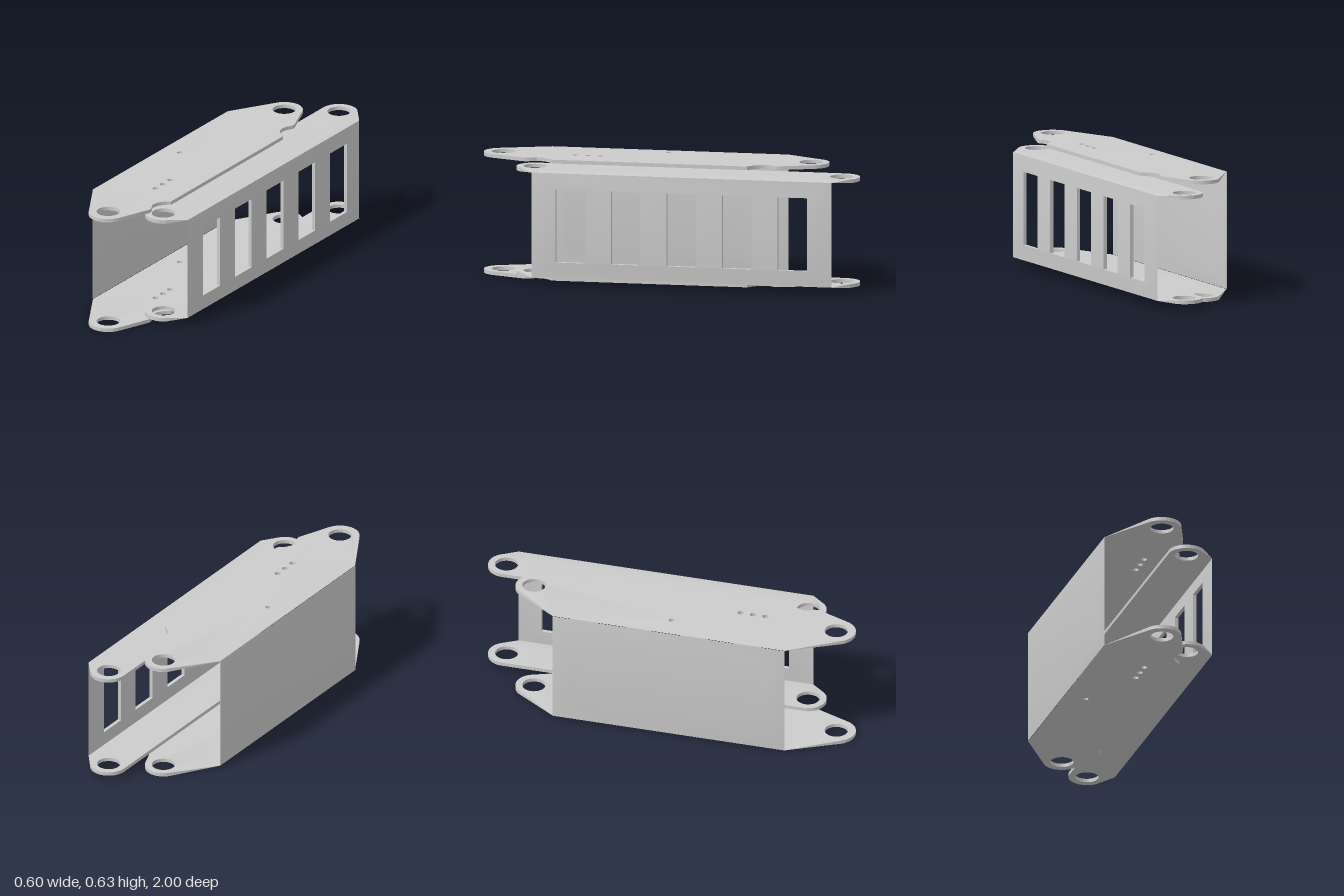
import * as THREE from 'three';
import { toCreasedNormals } from 'three/addons/utils/BufferGeometryUtils.js';

const MID = 0.315; // mid height of the linkage
const T = 0.019;   // sheet thickness
const material = new THREE.MeshStandardMaterial({ color: 0xcccccc, side: THREE.DoubleSide });

function mesh(name, geometry) {
  const m = new THREE.Mesh(toCreasedNormals(geometry, 0.5), material);
  m.name = name;
  return m;
}

// Points of a rounded tip whose sides run tangentially to the points "from" and "to"
function tip([cx, cz], r, from, to) {
  const touch = ([x, z], sign) =>
    Math.atan2(z - cz, x - cx) + sign * Math.acos(Math.min(1, r / Math.hypot(x - cx, z - cz)));
  const a = touch(from, 1);
  let b = touch(to, -1);
  while (b < a) b += Math.PI * 2;
  return Array.from({ length: 17 }, (_, i) => {
    const t = a + ((b - a) * i) / 16;
    return [cx + r * Math.cos(t), cz + r * Math.sin(t)];
  });
}

const toShape = (points) => new THREE.Shape(points.map(([x, y]) => new THREE.Vector2(x, y)));

function roundHole(x, y, r) {
  return new THREE.Path().absarc(x, y, r, 0, Math.PI * 2, true);
}

// Sheet centred on its own plane, thinned to a knife edge where isEdge(x, y) holds
function sheet(shape, isEdge) {
  const g = new THREE.ExtrudeGeometry(shape, { depth: T, bevelEnabled: false, curveSegments: 14 });
  g.translate(0, 0, -T / 2);
  const p = g.attributes.position;
  for (let i = 0; i < p.count; i++) {
    if (isEdge(p.getX(i), p.getY(i))) p.setZ(i, p.getZ(i) * 0.03);
  }
  return g;
}

// Upper and lower copies of a plate drawn in x and z
function platePair(group, name, shape, isEdge, offset) {
  for (const side of [1, -1]) {
    const g = sheet(shape, isEdge).rotateX(Math.PI / 2);
    g.translate(0, MID + side * offset, 0);
    group.add(mesh((side > 0 ? 'upper' : 'lower') + name, g));
  }
}

// Wide channel: notched plates and a plain web
function wideChannel() {
  const group = new THREE.Group();
  group.name = 'wideChannel';
  const backCorner = [-0.29, -0.54], frontCorner = [-0.29, 0.69];
  const backNotch = [[0.1, -0.575], [0.102, -0.555], [0.082, -0.52], [0.078, -0.49],
    [0.088, -0.455], [0.112, -0.43], [0.138, -0.41]];
  const frontNotch = [[0.14, 0.61], [0.112, 0.63], [0.09, 0.665], [0.085, 0.7], [0.108, 0.745], [0.108, 0.765]];
  const shape = toShape([
    backCorner,
    ...tip([-0.053, -0.705], 0.095, backCorner, backNotch[0]),
    ...backNotch,
    ...frontNotch,
    ...tip([-0.053, 0.9], 0.1, frontNotch[5], frontCorner),
    frontCorner,
  ]);
  shape.holes.push(roundHole(-0.053, -0.705, 0.06), roundHole(-0.053, 0.9, 0.06), roundHole(-0.18, 0.06, 0.014));
  for (const z of [0.383, 0.449, 0.515]) shape.holes.push(roundHole(-0.02, z, 0.016));
  platePair(group, 'WidePlate', shape, (x) => x < -0.28, 0.305);

  // web bevelled all round to a knife edge
  const inset = 0.077;
  const z0 = -0.54 + inset, z1 = 0.69 - inset, h = 0.304 - inset;
  const web = new THREE.ExtrudeGeometry(toShape([[z0, -h], [z1, -h], [z1, h], [z0, h]]), {
    depth: 0.001, bevelThickness: T / 2, bevelSize: inset, bevelSegments: 1,
  });
  web.rotateY(-Math.PI / 2).translate(-0.2915, MID, 0);
  group.add(mesh('plainWeb', web));
  return group;
}

// Narrow channel: plates nested inside the wide one and a web with windows
function narrowChannel() {
  const group = new THREE.Group();
  group.name = 'narrowChannel';
  const backCorner = [0.292, -0.88], frontCorner = [0.292, 0.685];
  const shape = toShape([
    ...tip([0.15, -0.905], 0.095, [0.055, 0], backCorner),
    backCorner,
    frontCorner,
    ...tip([0.15, 0.695], 0.095, frontCorner, [0.055, 0]),
  ]);
  shape.holes.push(roundHole(0.15, -0.905, 0.06), roundHole(0.15, 0.695, 0.06));
  platePair(group, 'NarrowPlate', shape, (x) => x > 0.28, 0.272);

  const h = 0.272;
  const wall = toShape([[-0.88, -h], [0.685, -h], [0.685, h], [-0.88, h]]);
  for (let i = 0; i < 5; i++) {
    const z = 0.48 - i * 0.2895, w = 0.077, k = 0.19;
    wall.holes.push(toShape([[z - w, -k], [z - w, k], [z + w, k], [z + w, -k]]));
  }
  const web = sheet(wall, (z, y) => Math.abs(y) > 0.25);
  web.rotateY(-Math.PI / 2).translate(0.2915, MID, 0);
  group.add(mesh('windowedWeb', web));
  return group;
}

export function createModel() {
  const model = new THREE.Group();
  model.name = 'linkageArms';
  model.add(wideChannel(), narrowChannel());
  return model;
}
